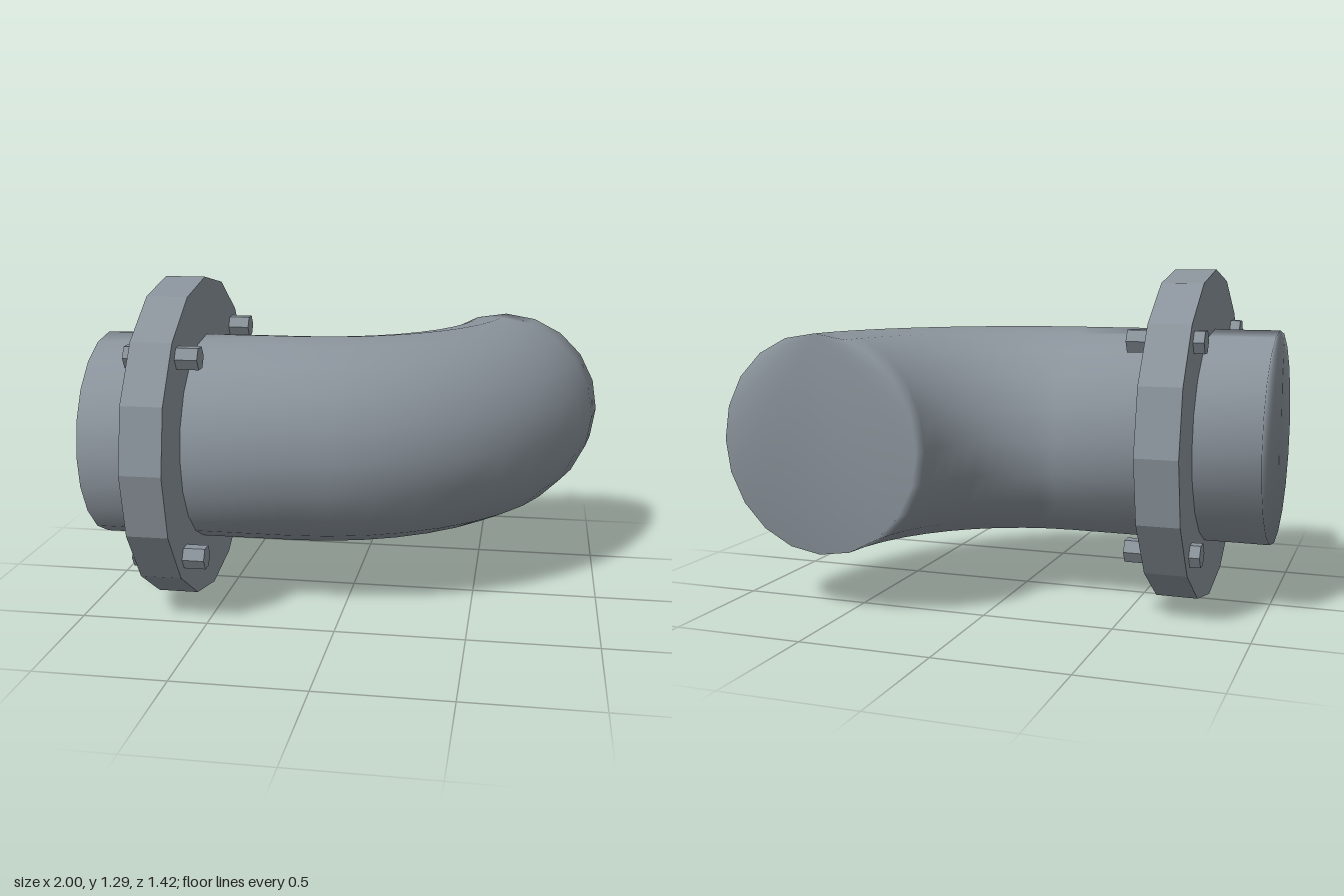
import * as THREE from 'three';

const AXIS_Y = 0.648, AXIS_Z = 0.065;

// Capped pipe: a straight run along x, then a bend turning towards -z
function pipeGeometry() {
  const sides = 20, radius = 0.415, bendRadius = 0.806, bendStart = -0.219;
  const sweep = THREE.MathUtils.degToRad(86), steps = 10;
  const rings = [{ x: -1, z: AXIS_Z, a: 0 }];
  for (let i = 0; i <= steps; i++) {
    const a = (sweep * i) / steps;
    rings.push({
      x: bendStart + bendRadius * Math.sin(a),
      z: AXIS_Z - bendRadius * (1 - Math.cos(a)),
      a,
    });
  }
  const pos = [], index = [];
  for (const { x, z, a } of rings) {
    for (let j = 0; j < sides; j++) {
      const t = (j / sides) * Math.PI * 2;
      const out = radius * Math.sin(t);
      pos.push(x + out * Math.sin(a), AXIS_Y + radius * Math.cos(t), z + out * Math.cos(a));
    }
  }
  for (let i = 0; i < rings.length - 1; i++) {
    for (let j = 0; j < sides; j++) {
      const k = (j + 1) % sides;
      const a = i * sides + j, b = i * sides + k, c = a + sides, d = b + sides;
      index.push(a, b, c, b, d, c);
    }
  }
  // End caps share the rim vertices, so the shading rolls over the edge
  const last = (rings.length - 1) * sides;
  for (let j = 1; j < sides - 1; j++) {
    index.push(0, j + 1, j);
    index.push(last, last + j, last + j + 1);
  }
  const g = new THREE.BufferGeometry();
  g.setAttribute('position', new THREE.Float32BufferAttribute(pos, 3));
  g.setIndex(index);
  g.computeVertexNormals();
  return g;
}

// Flat-sided prism lying along x with a corner pointing up
function prism(radius, sides, x0, x1) {
  const g = new THREE.CylinderGeometry(radius, radius, x1 - x0, sides).toNonIndexed();
  g.rotateZ(Math.PI / 2);
  g.translate((x0 + x1) / 2, 0, 0);
  g.computeVertexNormals();
  return g;
}

export function createModel() {
  const model = new THREE.Group();
  model.name = 'pipeElbow';
  const steel = new THREE.MeshStandardMaterial({ color: 0x8a939b });
  steel.name = 'blueGreySteel';

  const add = (name, geometry, y = 0, z = 0) => {
    const mesh = new THREE.Mesh(geometry, steel);
    mesh.name = name;
    mesh.position.set(0, y, z);
    model.add(mesh);
  };

  add('pipe', pipeGeometry());
  add('flange', prism(0.645, 16, -0.75, -0.59), AXIS_Y, AXIS_Z);

  // Four hexagonal bolts through the flange
  const bolt = prism(0.047, 6, -0.79, -0.505);
  for (const sy of [1, -1]) {
    for (const sz of [1, -1]) {
      add(`${sy > 0 ? 'upper' : 'lower'}${sz > 0 ? 'Front' : 'Back'}Bolt`, bolt,
        AXIS_Y + sy * 0.39, AXIS_Z + sz * 0.39);
    }
  }
  return model;
}
